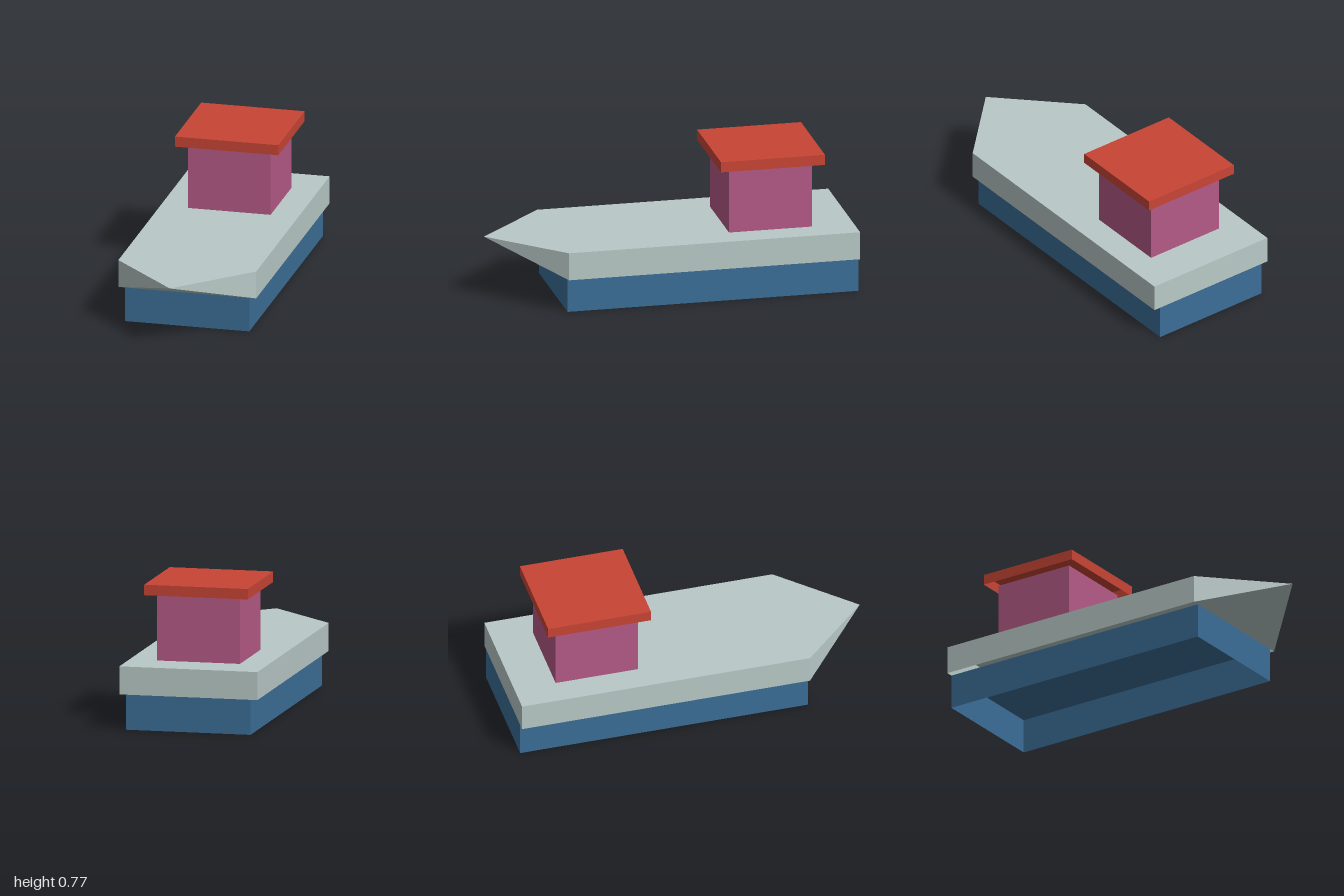
import * as THREE from 'three';

// One grid unit of the boat; all sizes below are whole or half units
const U = 1 / 26;

const paint = (name, color) => {
  const m = new THREE.MeshStandardMaterial({ color, side: THREE.DoubleSide });
  m.name = name;
  return m;
};

// Box shell with an open underside, given its base height and centre in z
function openBox(name, [w, h, d], y, z, material) {
  const geo = new THREE.BoxGeometry(w * U, h * U, d * U);
  const index = Array.from(geo.index.array);
  index.splice(18, 6); // drop the bottom face
  geo.setIndex(index);
  geo.clearGroups();
  const mesh = new THREE.Mesh(geo, material);
  mesh.name = name;
  mesh.position.set(0, (y + h / 2) * U, z * U);
  return mesh;
}

// Pointed bow: a rectangle at the deck end tapering to a tip at deck level
function bowGeometry() {
  const x = 10 * U, top = 9 * U, low = 5 * U, z = 16 * U;
  const A = [-x, top, z], B = [x, top, z], C = [-x, low, z], D = [x, low, z], T = [0, top, 1];
  const faces = [A, T, B, A, C, T, B, T, D, C, D, T];
  const geo = new THREE.BufferGeometry();
  geo.setAttribute('position', new THREE.Float32BufferAttribute(faces.flat(), 3));
  geo.computeVertexNormals();
  return geo;
}

export function createModel() {
  const blue = paint('hull blue', 0x3b6e97);
  const grey = paint('deck grey', 0xb8c9c7);
  const pink = paint('cabin pink', 0xb55a86);
  const red = paint('roof red', 0xc84535);

  const bow = new THREE.Mesh(bowGeometry(), grey);
  bow.name = 'bow';

  const boat = new THREE.Group();
  boat.name = 'boat';
  boat.add(
    openBox('hull', [18, 5, 42], 0, -5, blue),
    openBox('deck', [20, 4, 42], 5, -5, grey),
    bow,
    openBox('cabin', [12, 9.5, 12], 9, -14, pink),
    openBox('roof', [15, 1.5, 15], 18.5, -14, red),
  );
  return boat;
}
